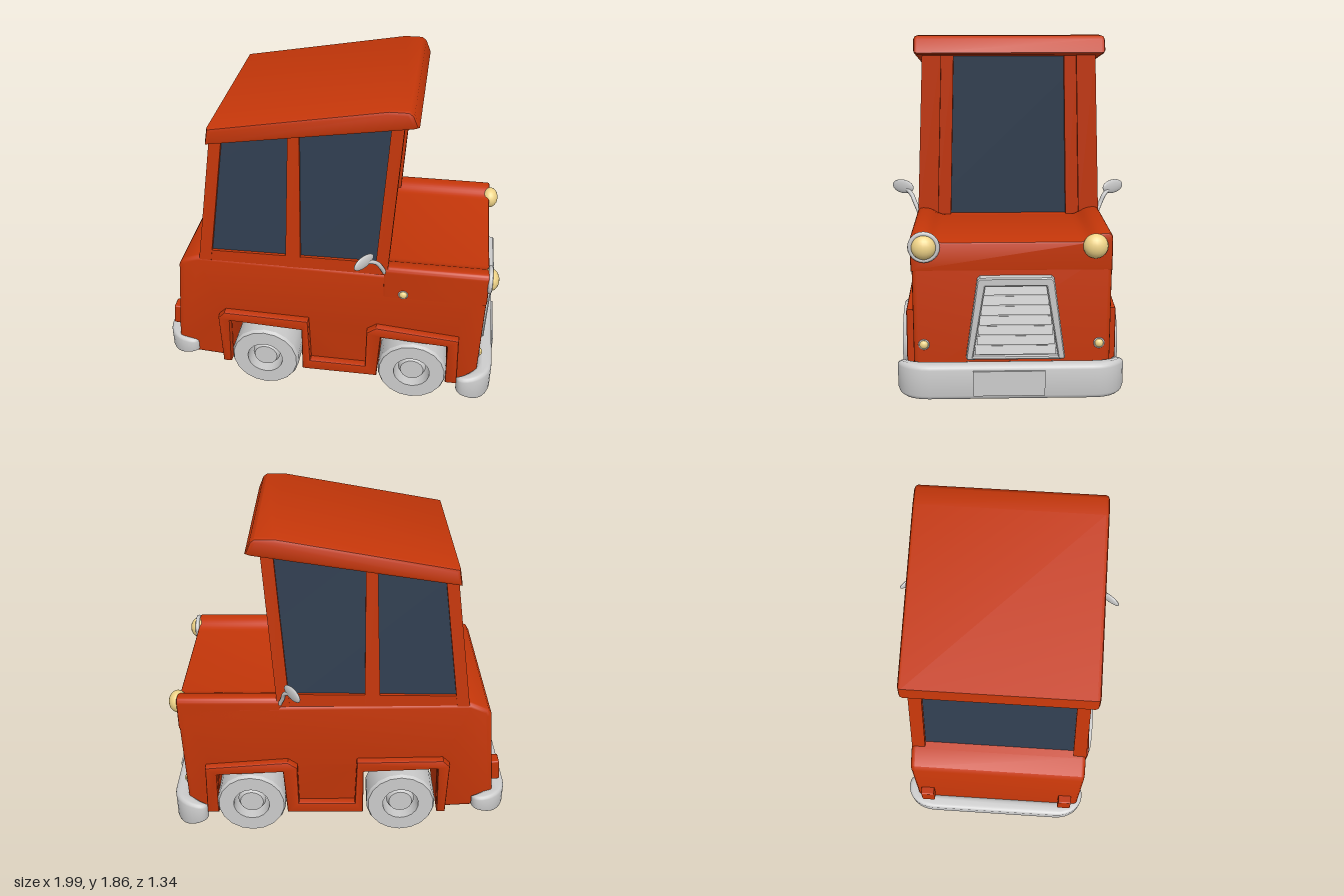
import * as THREE from 'three';
import { toCreasedNormals } from 'three/addons/utils/BufferGeometryUtils.js';
import { RoundedBoxGeometry } from 'three/addons/geometries/RoundedBoxGeometry.js';

const mat = (color) => new THREE.MeshStandardMaterial({ color });
const lerp = THREE.MathUtils.lerp;

export function createModel() {
  const car = new THREE.Group();
  car.name = 'car';
  const paint = mat(0xc43609), glass = mat(0x303e50), lens = mat(0xf0d488), chrome = mat(0xcccccc);

  const add = (name, geo, material, x = 0, y = 0, z = 0) => {
    const m = new THREE.Mesh(geo, material);
    m.name = name;
    m.position.set(x, y, z);
    car.add(m);
    return m;
  };
  const outline = (pts) => new THREE.Shape(pts.map(([x, y]) => new THREE.Vector2(x, y)));
  // Bevelled slab of a shape, filling z0..z1
  const slab = (shape, z0, z1, bevel, segments = 2) => {
    const geo = new THREE.ExtrudeGeometry(shape, {
      depth: z1 - z0 - 2 * bevel, bevelEnabled: bevel > 0, bevelSize: bevel,
      bevelThickness: bevel, bevelOffset: -bevel, bevelSegments: segments, curveSegments: 8,
    });
    geo.translate(0, 0, z0 + bevel);
    return toCreasedNormals(geo, 0.7);
  };

  // Lower body with wheel tunnels
  add('body', slab(outline([
    [-0.92, 0.14], [-0.62, 0.12], [-0.58, 0.12], [-0.57, 0.44], [-0.14, 0.42], [-0.14, 0.12],
    [0.31, 0.12], [0.32, 0.42], [0.71, 0.4], [0.72, 0.12], [0.9, 0.12], [0.915, 0.8], [0.905, 0.845],
    [0.34, 0.855], [-0.74, 0.865], [-0.84, 0.825], [-0.86, 0.79],
  ]), -0.515, 0.51, 0.025, 3), paint);

  // Flared trim around the arches and along the sill
  const trim = outline([
    [-0.63, 0.12], [-0.64, 0.46], [-0.6, 0.5], [-0.1, 0.49], [-0.09, 0.19], [0.24, 0.19],
    [0.245, 0.45], [0.3, 0.49], [0.78, 0.45], [0.79, 0.12], [0.72, 0.12], [0.715, 0.4],
    [0.33, 0.42], [0.31, 0.12], [-0.14, 0.12], [-0.14, 0.42], [-0.57, 0.44], [-0.58, 0.12],
  ]);
  add('archTrimLeft', slab(trim, 0.49, 0.555, 0.012), paint);
  add('archTrimRight', slab(trim, -0.56, -0.49, 0.012), paint);

  // Bonnet with raised, rounded edges that sweep down to its middle
  const bonnet = new THREE.Shape();
  bonnet.moveTo(-0.515, 0.7);
  bonnet.lineTo(0.515, 0.7);
  bonnet.lineTo(0.515, 0.865);
  bonnet.quadraticCurveTo(0.515, 0.9, 0.48, 0.9);
  bonnet.bezierCurveTo(0.41, 0.9, 0.41, 0.858, 0.35, 0.856);
  bonnet.lineTo(-0.35, 0.856);
  bonnet.bezierCurveTo(-0.41, 0.858, -0.41, 0.9, -0.48, 0.9);
  bonnet.quadraticCurveTo(-0.515, 0.9, -0.515, 0.865);
  add('bonnet', slab(bonnet, 0.33, 0.915, 0.012), paint).rotation.y = Math.PI / 2;

  // Cabin pieces: u runs back to front (bottom and top ranges), v upward, w sideways
  const cabinPiece = (name, material, [u0, u1, t0 = u0, t1 = u1], [v0, v1], [w0, w1]) => {
    const geo = new THREE.BoxGeometry(1, 1, 1);
    const p = geo.attributes.position;
    for (let i = 0; i < p.count; i++) {
      const v = lerp(v0, v1, p.getY(i) + 0.5);
      const u = lerp(lerp(u0, u1, p.getX(i) + 0.5), lerp(t0, t1, p.getX(i) + 0.5), v);
      const w = lerp(w0, w1, p.getZ(i) + 0.5);
      p.setXYZ(i, lerp(lerp(-0.73, 0.35, u), lerp(-0.62, 0.41, u), v),
        lerp(0.85, lerp(1.62, 1.78, u), v), w * lerp(0.512, 0.468, v));
    }
    geo.computeVertexNormals();
    add(name, geo, material);
  };
  cabinPiece('windows', glass, [0.03, 0.95], [0, 1], [-0.96, 0.96]);
  for (const s of [-1, 1]) {
    const side = (a, b) => (s > 0 ? [a, b] : [-b, -a]);
    cabinPiece('rearPillar', paint, [0, 0.065], [0, 1], side(0.85, 1));
    cabinPiece('middlePillar', paint, [0.465, 0.545, 0.41, 0.47], [0, 1], side(0.9, 1));
    cabinPiece('frontPillar', paint, [0.935, 1], [0, 1], side(0.78, 1));
    cabinPiece('windscreenFrame', paint, [0.93, 0.98], [0, 1], side(0.64, 0.8));
    cabinPiece('windowSill', paint, [0.02, 0.97], [0, 0.085], side(0.9, 0.995));
  }

  // Sloping roof
  add('roof', slab(outline([
    [-0.637, 1.595], [0.455, 1.765], [0.484, 1.775], [0.455, 1.845], [0.43, 1.863], [0.33, 1.863], [-0.62, 1.692],
  ]), -0.515, 0.512, 0.02), paint);

  // Wheels, hubs and axles
  const tyre = toCreasedNormals(new THREE.LatheGeometry(
    [[0.106, -0.105], [0.203, -0.105], [0.203, 0.08], [0.193, 0.1], [0.106, 0.1], [0.106, -0.105]]
      .map(([r, y]) => new THREE.Vector2(r, y)), 18).rotateX(Math.PI / 2), 0.4);
  const rod = (r0, r1, len) => new THREE.CylinderGeometry(r0, r1, len, 20).rotateX(Math.PI / 2);
  for (const x of [-0.36, 0.52]) {
    add('axle', rod(0.065, 0.065, 1.06), chrome, x, 0.205, 0);
    for (const s of [-1, 1]) {
      add('tyre', tyre, chrome, x, 0.205, s * 0.483).rotation.y = s > 0 ? 0 : Math.PI;
      add('hubCap', rod(0.068, 0.083, 0.03), chrome, x, 0.205, s * 0.545).rotation.y = s > 0 ? 0 : Math.PI;
    }
  }

  // Wraparound bumpers, tapering toward their side arms
  const bumper = (name, h, height, bevel, y, z, yaw) => {
    const s = new THREE.Shape();
    s.moveTo(0.785, -h + 0.05);
    s.quadraticCurveTo(0.79, -h, 0.85, -h);
    s.bezierCurveTo(0.93, -h, 0.99, -h + 0.07, 0.99, -h + 0.17);
    s.lineTo(0.99, h - 0.17);
    s.bezierCurveTo(0.99, h - 0.07, 0.93, h, 0.85, h);
    s.quadraticCurveTo(0.79, h, 0.785, h - 0.05);
    s.bezierCurveTo(0.86, h - 0.07, 0.905, h - 0.09, 0.905, h - 0.18);
    s.lineTo(0.905, -h + 0.18);
    s.bezierCurveTo(0.905, -h + 0.09, 0.86, -h + 0.07, 0.785, -h + 0.05);
    const geo = slab(s, -height / 2, height / 2, bevel, 3).rotateX(Math.PI / 2);
    const p = geo.attributes.position;
    for (let i = 0; i < p.count; i++) {
      p.setY(i, p.getY(i) * lerp(0.5, 1, THREE.MathUtils.smoothstep(p.getX(i), 0.74, 0.96)));
    }
    add(name, geo, chrome, 0, y, z).rotation.y = yaw;
  };
  bumper('frontBumper', 0.595, 0.19, 0.025, 0.125, 0.003, 0);
  bumper('rearBumper', 0.56, 0.14, 0.022, 0.19, -0.02, Math.PI);
  add('numberPlate', new THREE.BoxGeometry(0.02, 0.135, 0.37), chrome, 0.99, 0.125, 0.015);

  // Grille: trapezoid frame around sloping slats
  const grille = new THREE.Group();
  grille.name = 'grille';
  const frame = outline([
    [-0.25, 0], [0.25, 0], [0.257, 0.012], [0.197, 0.435], [0.182, 0.45], [-0.182, 0.45], [-0.197, 0.435], [-0.257, 0.012],
  ]);
  frame.holes.push(outline([[-0.22, 0.015], [-0.155, 0.405], [0.155, 0.405], [0.22, 0.015]]));
  const part = (name, geo) => {
    const m = new THREE.Mesh(geo, chrome);
    m.name = name;
    grille.add(m);
    return m;
  };
  part('grilleFrame', slab(frame, -0.02, 0.032, 0.006, 1));
  part('grilleBacking', slab(outline([[-0.23, 0.01], [0.23, 0.01], [0.17, 0.43], [-0.17, 0.43]]), -0.02, 0.003, 0));
  for (let i = 0; i < 7; i++) {
    const y = 0.045 + i * 0.055;
    const slat = part('grilleSlat', new THREE.BoxGeometry(2 * lerp(0.215, 0.155, y / 0.42), 0.045, 0.012));
    slat.position.set(0, y, 0.008);
    slat.rotation.x = -0.3;
  }
  grille.position.set(0.905, 0.23, -0.02);
  grille.rotation.y = Math.PI / 2;
  grille.rotateX(0.05);
  car.add(grille);

  // Headlamps, small front lamps and side marker
  const lamp = (name, r, x, y, z, ring, yaw = Math.PI / 2) => {
    const bulb = add(name, new THREE.SphereGeometry(r, 20, 14), lens, x, y, z);
    bulb.rotation.y = yaw;
    bulb.scale.z = 0.8;
    if (ring) add(name + 'Ring', new THREE.TorusGeometry(r * 1.08, r * 0.2, 8, 24), chrome, x, y, z).rotation.y = yaw;
  };
  lamp('headlampLeft', 0.064, 0.92, 0.833, 0.445, true);
  lamp('headlampRight', 0.064, 0.92, 0.833, -0.425, false);
  for (const s of [-1, 1]) lamp('frontIndicator', 0.023, 0.905, 0.305, s * 0.455, true);
  lamp('sideMarker', 0.023, 0.445, 0.725, 0.513, true, 0);

  // Tail lamps
  for (const s of [-1, 1]) {
    add('tailLamp', new RoundedBoxGeometry(0.06, 0.13, 0.08, 2, 0.008), paint, -0.915, 0.37, s * 0.43 - 0.01)
      .rotation.z = -0.09;
  }

  // Door mirrors on curved stalks, the left one set further back
  for (const [s, back] of [[-1, 0], [1, 0.03]]) {
    const stalk = new THREE.CatmullRomCurve3([[0.335, 0.865, 0.505], [0.315, 0.92, 0.53], [0.305 - back / 2, 0.96, 0.55], [0.27 - back, 0.99, 0.585]]
      .map(([x, y, z]) => new THREE.Vector3(x, y, s * z)));
    add('mirrorStalk', new THREE.TubeGeometry(stalk, 12, 0.012, 8), chrome);
    const head = add('mirrorHead', new THREE.SphereGeometry(1, 20, 14), chrome, 0.258 - back, 0.998, s * 0.605);
    head.scale.set(0.078, 0.04, 0.014);
    head.rotation.y = s * 0.95;
  }
  return car;
}
